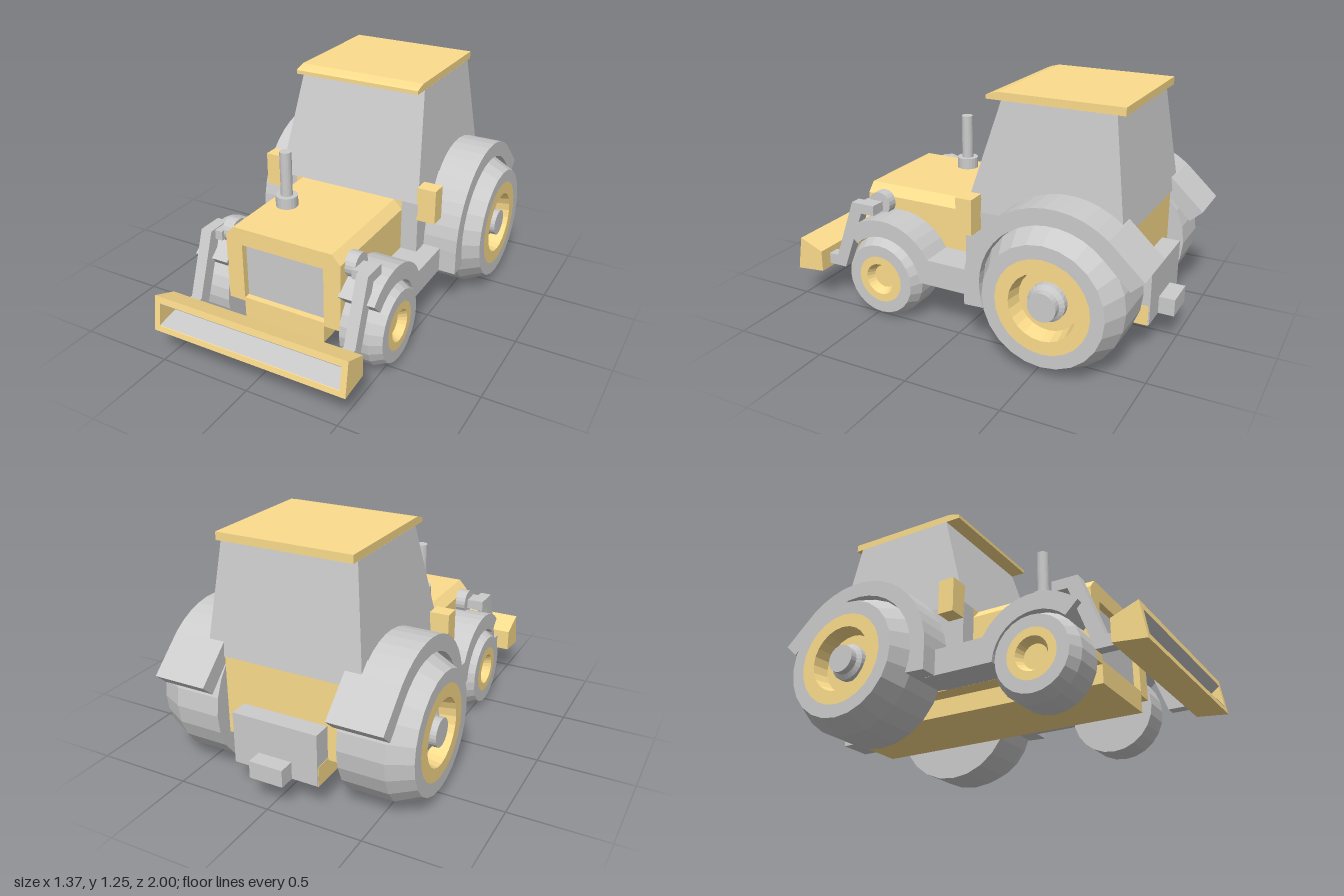
import * as THREE from 'three';

const mat = (color) => new THREE.MeshStandardMaterial({ color, flatShading: true, side: THREE.DoubleSide });

export function createModel() {
  const model = new THREE.Group();
  const grey = mat(0xcccccc), yellow = mat(0xfcdc8c), glass = mat(0xf2f2f2);

  const add = (name, geo, m) => {
    const mesh = new THREE.Mesh(geo, m);
    mesh.name = name;
    model.add(mesh);
  };
  // Box given by its limits on each axis
  const box = (name, m, x0, x1, y0, y1, z0, z1) => {
    const g = new THREE.BoxGeometry(Math.abs(x1 - x0), y1 - y0, z1 - z0);
    add(name, g.translate((x0 + x1) / 2, (y0 + y1) / 2, (z0 + z1) / 2), m);
  };
  const toShape = (pts) => new THREE.Shape(pts.map(([a, b]) => new THREE.Vector2(a, b)));
  // Side profile of [z, y] points, extruded across x
  const profile = (name, m, pts, x0, x1) => {
    const a = Math.min(x0, x1), b = Math.max(x0, x1);
    const g = new THREE.ExtrudeGeometry(toShape(pts), { depth: b - a, bevelEnabled: false });
    add(name, g.rotateY(-Math.PI / 2).translate(b, 0, 0), m);
  };
  // Points along an arc, angles in degrees
  const arc = (cz, cy, r, from, to, n) => Array.from({ length: n + 1 }, (_, i) => {
    const t = THREE.MathUtils.degToRad(from + (to - from) * i / n);
    return [cz + r * Math.cos(t), cy + r * Math.sin(t)];
  });
  // Flat four or five sided panel from 3D corners
  const panel = (name, m, corners) => {
    const g = new THREE.BufferGeometry();
    g.setAttribute('position', new THREE.Float32BufferAttribute(corners.flat(), 3));
    const idx = [];
    for (let i = 1; i < corners.length - 1; i++) idx.push(0, i, i + 1);
    g.setIndex(idx);
    g.computeVertexNormals();
    add(name, g, m);
  };

  // Chassis and rear hitch
  box('chassis', yellow, -0.232, 0.232, 0.145, 0.25, -0.91, 0.655);
  box('lowerCabin', yellow, -0.325, 0.325, 0.24, 0.655, -0.82, 0);
  box('rearPlate', grey, -0.23, 0.23, 0.15, 0.42, -0.917, -0.8);
  box('hitch', grey, -0.09, 0.09, 0.15, 0.24, -1, -0.91);

  // Hood: chamfered section, with a recessed grille in the front
  const hoodPts = [[-0.325, 0.24], [0.325, 0.24], [0.325, 0.605], [0.28, 0.655], [-0.28, 0.655], [-0.325, 0.605]];
  const hood = toShape(hoodPts);
  add('hood', new THREE.ExtrudeGeometry(hood, { depth: 0.61, bevelEnabled: false }), yellow);
  const surround = toShape(hoodPts);
  surround.holes.push(toShape([[-0.232, 0.26], [-0.232, 0.565], [0.232, 0.565], [0.232, 0.26]]));
  add('grilleSurround', new THREE.ExtrudeGeometry(surround, { depth: 0.045, bevelEnabled: false }).translate(0, 0, 0.61), yellow);
  box('grille', grey, -0.232, 0.232, 0.26, 0.565, 0.6, 0.62);

  // Exhaust
  add('exhaustBase', new THREE.CylinderGeometry(0.058, 0.058, 0.06, 20).translate(-0.175, 0.685, 0.325), grey);
  add('exhaustPipe', new THREE.CylinderGeometry(0.031, 0.031, 0.25, 20).translate(-0.175, 0.83, 0.325), grey);

  // Cab: box tapered toward the roof
  const Y0 = 0.655, Y1 = 1.215;
  const cabX = (y) => 0.417 - (y - Y0) * 0.11;
  const cabFront = (y) => -0.3 * (y - Y0);
  const cabRear = (y) => -0.83 + 0.143 * (y - Y0);
  const cab = new THREE.BoxGeometry(2, Y1 - Y0, 1).translate(0, (Y0 + Y1) / 2, 0);
  const p = cab.attributes.position;
  for (let i = 0; i < p.count; i++) {
    const y = p.getY(i);
    p.setX(i, Math.sign(p.getX(i)) * cabX(y));
    p.setZ(i, p.getZ(i) > 0 ? cabFront(y) : cabRear(y));
  }
  cab.computeVertexNormals();
  add('cab', cab, grey);

  // Windows, set just proud of the cab faces
  const e = 0.003;
  const frontZ = (y) => cabFront(y) + e, rearZ = (y) => cabRear(y) - e;
  panel('frontWindow', glass, [[-0.33, 0.66, frontZ(0.66)], [0.33, 0.66, frontZ(0.66)],
    [0.275, 1.125, frontZ(1.125)], [-0.275, 1.125, frontZ(1.125)]]);
  panel('rearWindow', glass, [[0.33, 0.74, rearZ(0.74)], [-0.33, 0.74, rearZ(0.74)],
    [-0.29, 1.13, rearZ(1.13)], [0.29, 1.13, rearZ(1.13)]]);

  // Roof with a sloped front lip
  profile('roof', yellow, [[-0.79, 1.215], [-0.085, 1.215], [-0.085, 1.235], [-0.105, 1.243],
    [-0.15, 1.255], [-0.79, 1.255]], -0.355, 0.355);

  // Wheel: lathed tyre, rim and hub, turned to face outward
  const lathe = (pts, n) => new THREE.LatheGeometry(pts.map(([r, x]) => new THREE.Vector2(r, x)), n);
  const wheel = (name, s, y, z, parts) => {
    const g = new THREE.Group();
    g.name = name;
    for (const [part, m, pts] of parts) {
      const mesh = new THREE.Mesh(lathe(pts, 24), m);
      mesh.name = part;
      g.add(mesh);
    }
    g.rotation.z = -s * Math.PI / 2;
    g.position.set(0, y, z);
    model.add(g);
  };
  const rearParts = [
    ['tyre', grey, [[0, 0.325], [0.365, 0.325], [0.365, 0.565], [0.308, 0.685], [0.24, 0.685]]],
    ['rim', yellow, [[0.24, 0.685], [0.17, 0.685], [0.155, 0.6], [0, 0.6]]],
    ['hub', grey, [[0.095, 0.6], [0.095, 0.63], [0.072, 0.645], [0.072, 0.683], [0, 0.683]]],
  ];
  const frontParts = [
    ['tyre', grey, [[0, 0.325], [0.222, 0.325], [0.222, 0.48], [0.19, 0.543], [0.128, 0.543]]],
    ['rim', yellow, [[0.128, 0.543], [0.085, 0.543], [0.062, 0.5], [0, 0.5]]],
  ];

  // Fender profiles that follow the wheels
  const rearFender = [[-0.095, 0.24], ...arc(-0.545, 0.37, 0.45, 0, 137, 16), [-1, 0.56], [-0.935, 0.5],
    ...arc(-0.545, 0.37, 0.367, 135, -20, 16)];
  const frontFender = [...arc(0.45, 0.225, 0.315, 45, 151, 10), [-0.15, 0.375], [-0.15, 0.24],
    ...arc(0.45, 0.225, 0.225, 176, 45, 12)];

  for (const s of [1, -1]) {
    const side = s > 0 ? 'left' : 'right';
    wheel(side + 'RearWheel', s, 0.366, -0.545, rearParts);
    wheel(side + 'FrontWheel', s, 0.223, 0.45, frontParts);
    profile(side + 'RearFender', grey, rearFender, s * 0.325, s * 0.605);
    profile(side + 'FrontFender', grey, frontFender, s * 0.32, s * 0.513);
    box(side + 'CabPillar', grey, s * 0.32, s * 0.417, 0.37, 0.655, -0.25, 0);
    box(side + 'SideBox', yellow, s * 0.41, s * 0.513, 0.565, 0.75, -0.087, 0);

    // Side window
    const pt = (z, y) => [s * (cabX(y) + e), y, z];
    panel(side + 'Window', glass, [pt(-0.22, 1.14), pt(-0.14, 0.855), pt(-0.22, 0.735), pt(-0.765, 0.735), pt(-0.7, 1.14)]);

    // Lift arm and its pivot on the hood
    add(side + 'ArmPivot', new THREE.CylinderGeometry(0.065, 0.065, 0.06, 20)
      .rotateZ(Math.PI / 2).translate(s * 0.35, 0.573, 0.55), grey);
    box(side + 'ArmLink', grey, s * 0.37, s * 0.42, 0.54, 0.59, 0.53, 0.63);
    profile(side + 'LiftArm', grey, [[0.525, 0.54], [0.605, 0.54], [0.73, 0.205], [0.84, 0.205],
      [0.84, 0.265], [0.78, 0.265], [0.66, 0.595], [0.525, 0.595]], s * 0.412, s * 0.473);

    // Bucket end
    profile(side + 'BucketEnd', yellow, [[1, 0.17], [0.97, 0.355], [0.835, 0.3], [0.835, 0.185]], s * 0.51, s * 0.542);
  }

  // Bucket: hollow wedge with a grey lining
  profile('bucket', yellow, [[0.835, 0.185], [1, 0.17], [0.995, 0.2], [0.86, 0.225], [0.976, 0.32],
    [0.97, 0.355], [0.835, 0.3]], -0.51, 0.51);
  const w = 0.509;
  panel('bucketFloor', grey, [[-w, 0.203, 0.994], [w, 0.203, 0.994], [w, 0.228, 0.864], [-w, 0.228, 0.864]]);
  panel('bucketBack', grey, [[-w, 0.228, 0.864], [w, 0.228, 0.864], [w, 0.318, 0.977], [-w, 0.318, 0.977]]);

  return model;
}
